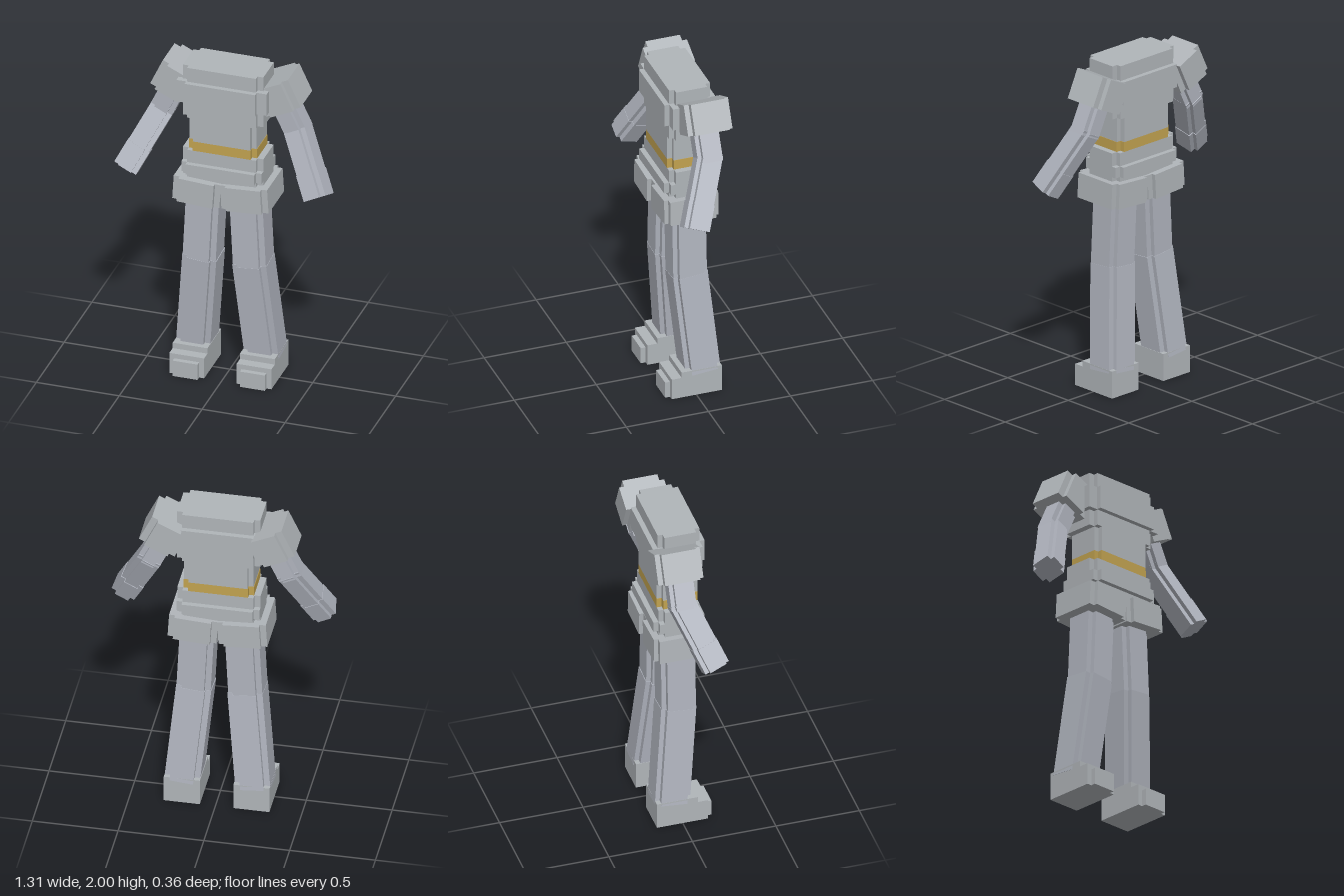
import * as THREE from 'three';

const paint = (name, color) => {
  const m = new THREE.MeshStandardMaterial({ color });
  m.name = name;
  return m;
};

// Upright block whose four vertical corners are cut by a square notch, centred on the origin
function notchedBlock(w, h, d, nx, nz) {
  const x = w / 2, z = d / 2, a = x - nx, b = z - nz;
  const s = new THREE.Shape([
    [a, -z], [a, -b], [x, -b], [x, b], [a, b], [a, z],
    [-a, z], [-a, b], [-x, b], [-x, -b], [-a, -b], [-a, -z],
  ].map(([px, py]) => new THREE.Vector2(px, py)));
  return new THREE.ExtrudeGeometry(s, { depth: h, bevelEnabled: false })
    .translate(0, 0, -h / 2).rotateX(-Math.PI / 2);
}

export function createModel() {
  const suit = paint('suit grey', 0xb0b5b9);
  const limb = paint('limb blue grey', 0xb0b4be);
  const gold = paint('belt gold', 0xc2a350);
  const model = new THREE.Group();
  const body = new THREE.Group();
  body.name = 'body';
  body.position.x = -0.007;
  model.add(body);

  function add(name, geometry, material, parent = body) {
    const m = new THREE.Mesh(geometry, material);
    m.name = name;
    parent.add(m);
    return m;
  }

  // Horizontal slice of the torso, from y0 to y1 and z0 to z1
  function slice(name, w, y0, y1, z0, z1, nx, nz, material = suit) {
    add(name, notchedBlock(w, y1 - y0, z1 - z0, nx, nz), material)
      .position.set(0, (y0 + y1) / 2, (z0 + z1) / 2);
  }
  slice('upperChest', 0.485, 1.675, 2.0, -0.12, 0.13, 0.035, 0.03);
  slice('chestBand', 0.545, 1.77, 1.91, -0.15, 0.16, 0.06, 0.03);
  slice('midriff', 0.405, 1.525, 1.68, -0.115, 0.13, 0.03, 0.03);
  slice('goldBelt', 0.41, 1.465, 1.525, -0.115, 0.13, 0.03, 0.03, gold);
  slice('waist', 0.485, 1.24, 1.465, -0.115, 0.13, 0.035, 0.03);
  slice('waistBand', 0.485, 1.32, 1.385, -0.145, 0.16, 0.035, 0.03);

  // Limb segment running from a to b
  function segment(name, a, b, w, d, n, material, parent) {
    const p = new THREE.Vector3(...a), q = new THREE.Vector3(...b);
    const dir = q.clone().sub(p), len = dir.length();
    dir.normalize();
    const m = add(name, notchedBlock(w, len, d, n, n * 0.8), material, parent);
    m.position.copy(p).add(q).multiplyScalar(0.5);
    m.rotation.set(-Math.asin(dir.z), 0, Math.atan2(dir.x, -dir.y), 'ZXY');
  }

  for (const s of [1, -1]) {
    const side = s > 0 ? 'left' : 'right';
    const at = (x, y, z) => [s * x, y, z];

    // Shoulder cap and bent arm
    const arm = new THREE.Group();
    arm.name = side + 'Arm';
    body.add(arm);
    const cap = add(side + 'ShoulderCap', notchedBlock(0.23, 0.182, 0.27, 0.04, 0.03), suit, arm);
    cap.position.set(s * 0.311, 1.854, -0.045);
    cap.rotation.z = s * THREE.MathUtils.degToRad(25);
    segment(side + 'UpperArm', at(0.31, 1.83, -0.035), at(0.415, 1.61, -0.035), 0.14, 0.15, 0.03, limb, arm);
    segment(side + 'Forearm', at(0.395, 1.65, -0.043), at(0.53, 1.38, 0.069), 0.14, 0.15, 0.03, limb, arm);
    segment(side + 'Hand', at(0.515, 1.41, 0.056), at(0.58, 1.28, 0.11), 0.146, 0.156, 0.03, limb, arm);

    // Hip block, tilted with the thigh
    const hip = add(side + 'Hip', notchedBlock(0.285, 0.15, 0.33, 0.035, 0.025), suit);
    hip.position.set(s * 0.144, 1.212, 0.01);
    hip.rotation.z = s * 0.06;

    // Leg bent back at the knee
    const leg = new THREE.Group();
    leg.name = side + 'Leg';
    body.add(leg);
    segment(side + 'Thigh', at(0.126, 1.25, 0.005), at(0.152, 0.73, 0.005), 0.2, 0.205, 0.034, limb, leg);
    segment(side + 'Shin', at(0.15, 0.75, 0.004), at(0.207, 0.13, -0.052), 0.206, 0.211, 0.034, limb, leg);

    // Stepped boot: heel block, instep and toe
    const steps = [
      ['BootHeel', 0.21, 0.165, 0.09],
      ['BootInstep', 0.21, 0.13, 0.15],
      ['BootToe', 0.15, 0.1, 0.18],
    ];
    for (const [name, w, h, front] of steps) {
      add(side + name, new THREE.BoxGeometry(w, h, front + 0.155), suit, leg)
        .position.set(s * 0.203, h / 2, (front - 0.155) / 2);
    }
  }
  return model;
}
